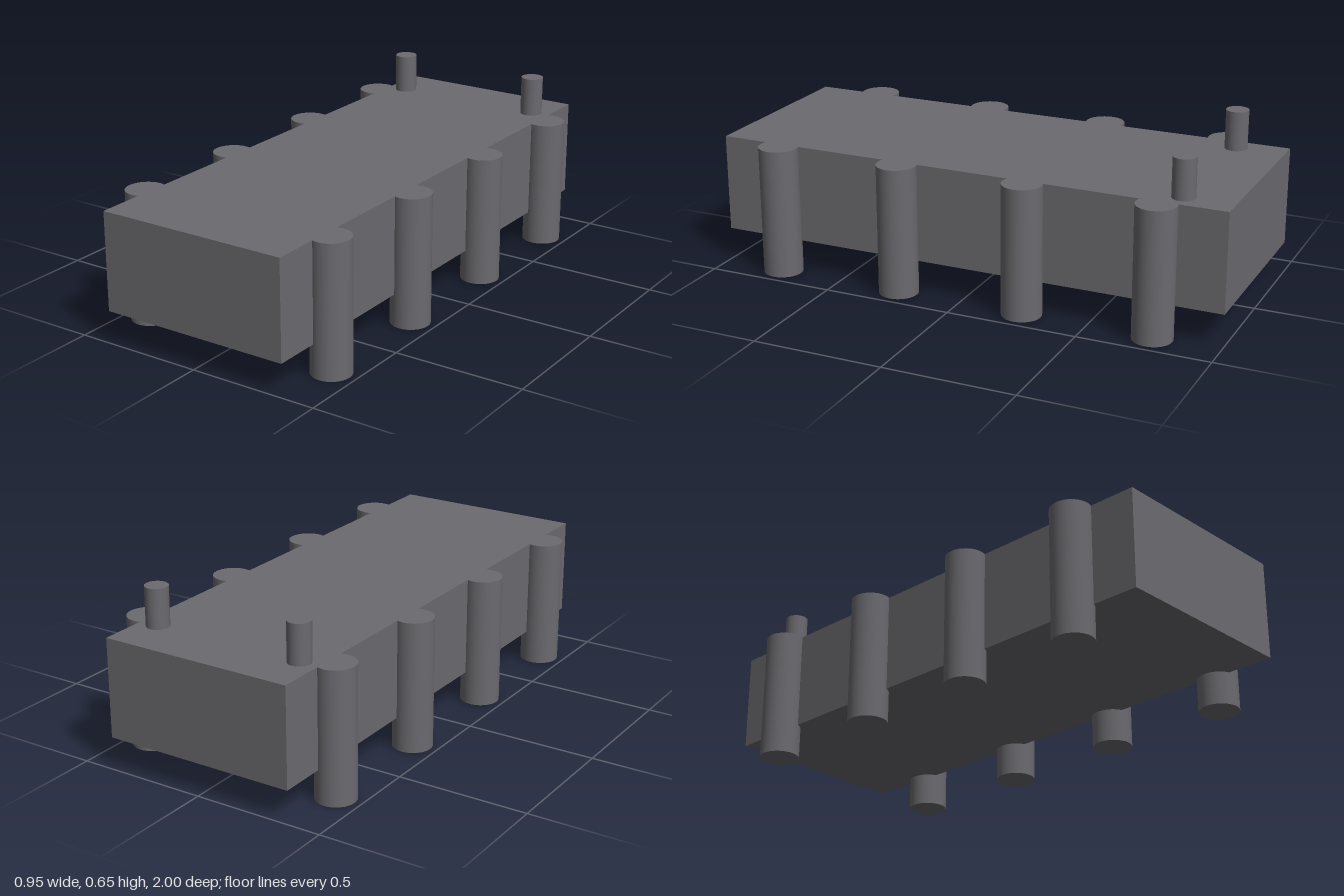
import * as THREE from 'three';

export function createModel() {
  const group = new THREE.Group();
  const darkGrey = new THREE.MeshStandardMaterial({ color: 0x6b6a6f });
  darkGrey.name = 'darkGrey';

  const add = (name, geometry, x, y, z) => {
    const mesh = new THREE.Mesh(geometry, darkGrey);
    mesh.name = name;
    mesh.position.set(x, y, z);
    group.add(mesh);
  };

  // Long slab body raised off the ground
  add('body', new THREE.BoxGeometry(0.75, 0.375, 2), 0, 0.3125, 0);

  // Four round legs per side, flush with the top, and one rear peg per side
  const legGeometry = new THREE.CylinderGeometry(0.075, 0.075, 0.5, 32);
  const pegGeometry = new THREE.CylinderGeometry(0.043, 0.043, 0.15, 32);
  for (const [side, sign] of [['left', 1], ['right', -1]]) {
    [0.75, 0.25, -0.25, -0.75].forEach((z, i) =>
      add(`${side}Leg${i + 1}`, legGeometry, sign * 0.4, 0.25, z));
    add(`${side}Peg`, pegGeometry, sign * 0.3, 0.575, -0.813);
  }

  return group;
}
